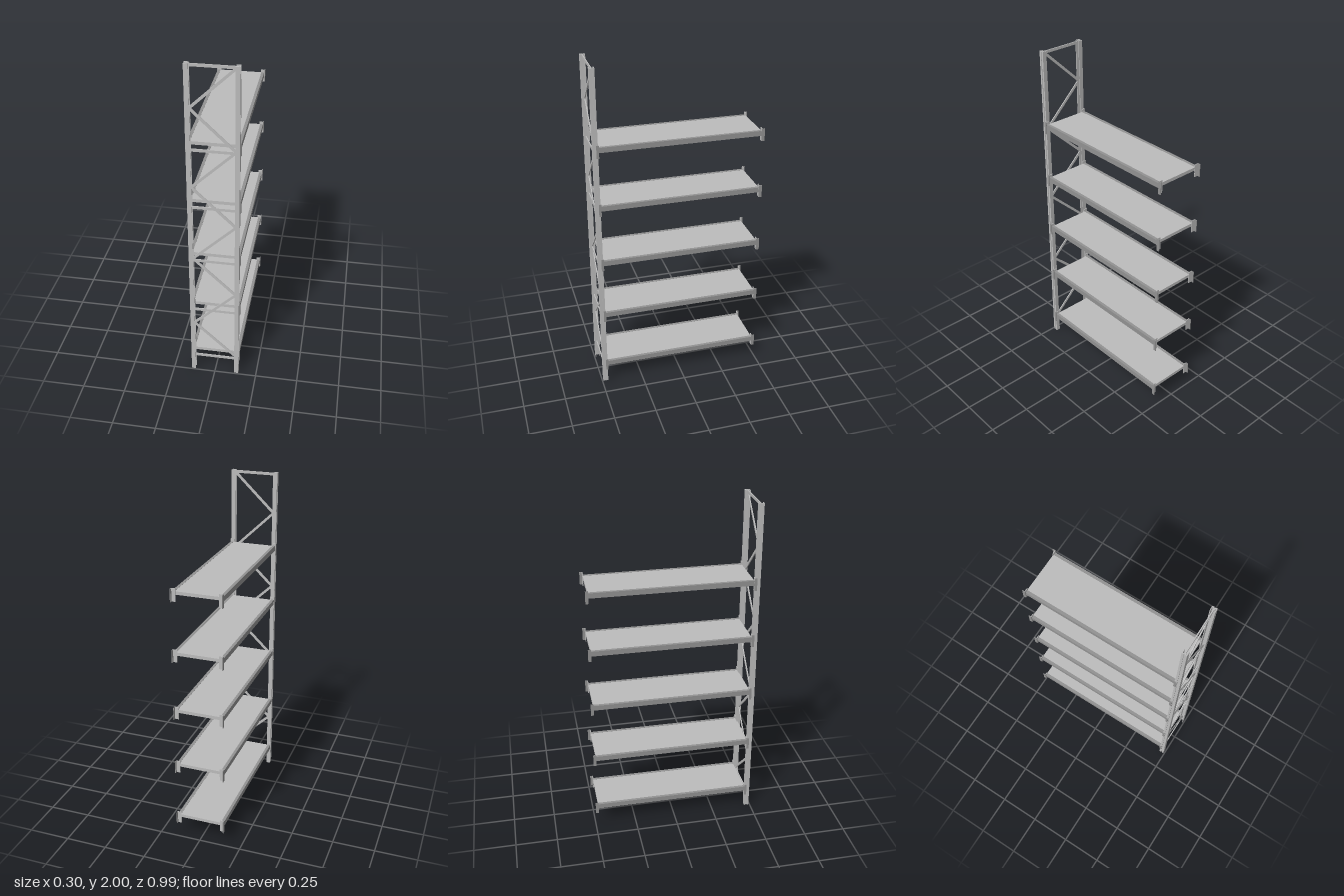
import * as THREE from 'three';

const frameGrey = new THREE.MeshStandardMaterial({ color: 0xbcbcbc });
frameGrey.name = 'frame grey';
const beamGrey = new THREE.MeshStandardMaterial({ color: 0x929292 });
beamGrey.name = 'beam grey';

// Box given by its minimum and maximum along each axis
function box(name, material, x0, x1, y0, y1, z0, z1) {
  const mesh = new THREE.Mesh(new THREE.BoxGeometry(x1 - x0, y1 - y0, z1 - z0), material);
  mesh.position.set((x0 + x1) / 2, (y0 + y1) / 2, (z0 + z1) / 2);
  mesh.name = name;
  return mesh;
}

// Box mirrored to the side s (+1 or -1) of x = 0
function sideBox(name, material, s, x0, x1, ...rest) {
  return s > 0 ? box(name, material, x0, x1, ...rest) : box(name, material, -x1, -x0, ...rest);
}

// Channel post, open towards the middle, with a shallow groove down its outer face
function post(s) {
  const outline = [
    [0.118, 0.463], [0.143, 0.463], [0.143, 0.475], [0.139, 0.475], [0.139, 0.481], [0.143, 0.481],
    [0.143, 0.493], [0.118, 0.493], [0.118, 0.489], [0.139, 0.489], [0.139, 0.485], [0.135, 0.485],
    [0.135, 0.471], [0.139, 0.471], [0.139, 0.467], [0.118, 0.467],
  ];
  const shape = new THREE.Shape(outline.map(([x, z]) => new THREE.Vector2(s * x, -z)));
  const geometry = new THREE.ExtrudeGeometry(shape, { depth: 2, bevelEnabled: false });
  geometry.rotateX(-Math.PI / 2);
  const mesh = new THREE.Mesh(geometry, frameGrey);
  mesh.name = s > 0 ? 'leftPost' : 'rightPost';
  return mesh;
}

// Flat bar between two points in the plane of the end frame
function diagonal(x0, y0, x1, y1) {
  const length = Math.hypot(x1 - x0, y1 - y0);
  const mesh = new THREE.Mesh(new THREE.BoxGeometry(length, 0.015, 0.006), frameGrey);
  mesh.position.set((x0 + x1) / 2, (y0 + y1) / 2, 0.478);
  mesh.rotation.z = Math.atan2(y1 - y0, x1 - x0);
  mesh.name = 'diagonalBrace';
  return mesh;
}

// Shelf with folded panel, two side beams and four angle brackets
function shelf(top) {
  const group = new THREE.Group();
  group.name = 'shelf';
  const back = -0.48, front = 0.459;
  group.add(box('panel', frameGrey, -0.126, 0.126, top - 0.005, top - 0.001, back, front));
  for (const [z0, z1] of [[back, back + 0.003], [front - 0.003, front]]) {
    group.add(box('panelEndLip', frameGrey, -0.126, 0.126, top - 0.02, top - 0.005, z0, z1));
  }
  for (const s of [1, -1]) {
    group.add(sideBox('beam', beamGrey, s, 0.126, 0.143, top - 0.03, top, back, front));
    // Front brackets hook on to the posts, rear ones stand free
    for (const [plate, z0, z1] of [[0.459, 0.459, 0.473], [-0.482, -0.496, -0.478]]) {
      group.add(sideBox('bracketPlate', frameGrey, s, 0.122, 0.144, top - 0.06, top + 0.015, plate, plate + 0.004));
      group.add(sideBox('bracketFlange', beamGrey, s, 0.144, 0.148, top - 0.06, top + 0.015, z0, z1));
    }
  }
  return group;
}

export function createModel() {
  const model = new THREE.Group();
  model.name = 'shelvingBay';

  // End frame
  const frame = new THREE.Group();
  frame.name = 'endFrame';
  frame.add(post(1), post(-1));
  frame.add(box('topBar', frameGrey, -0.135, 0.135, 1.982, 1.998, 0.475, 0.481));
  const step = 0.2335;
  for (let i = 0; i < 8; i++) {
    const s = i % 2 ? -1 : 1;
    const y = 1.988 - i * step;
    frame.add(diagonal(s * 0.122, y, -s * 0.122, y - step));
  }
  model.add(frame);

  // Shelves, each with a strut across the frame just below it
  for (let i = 0; i < 5; i++) {
    const top = 0.145 + i * 0.353;
    model.add(shelf(top));
    frame.add(box('strut', frameGrey, -0.135, 0.135, top - 0.05, top - 0.034, 0.475, 0.481));
  }
  return model;
}
